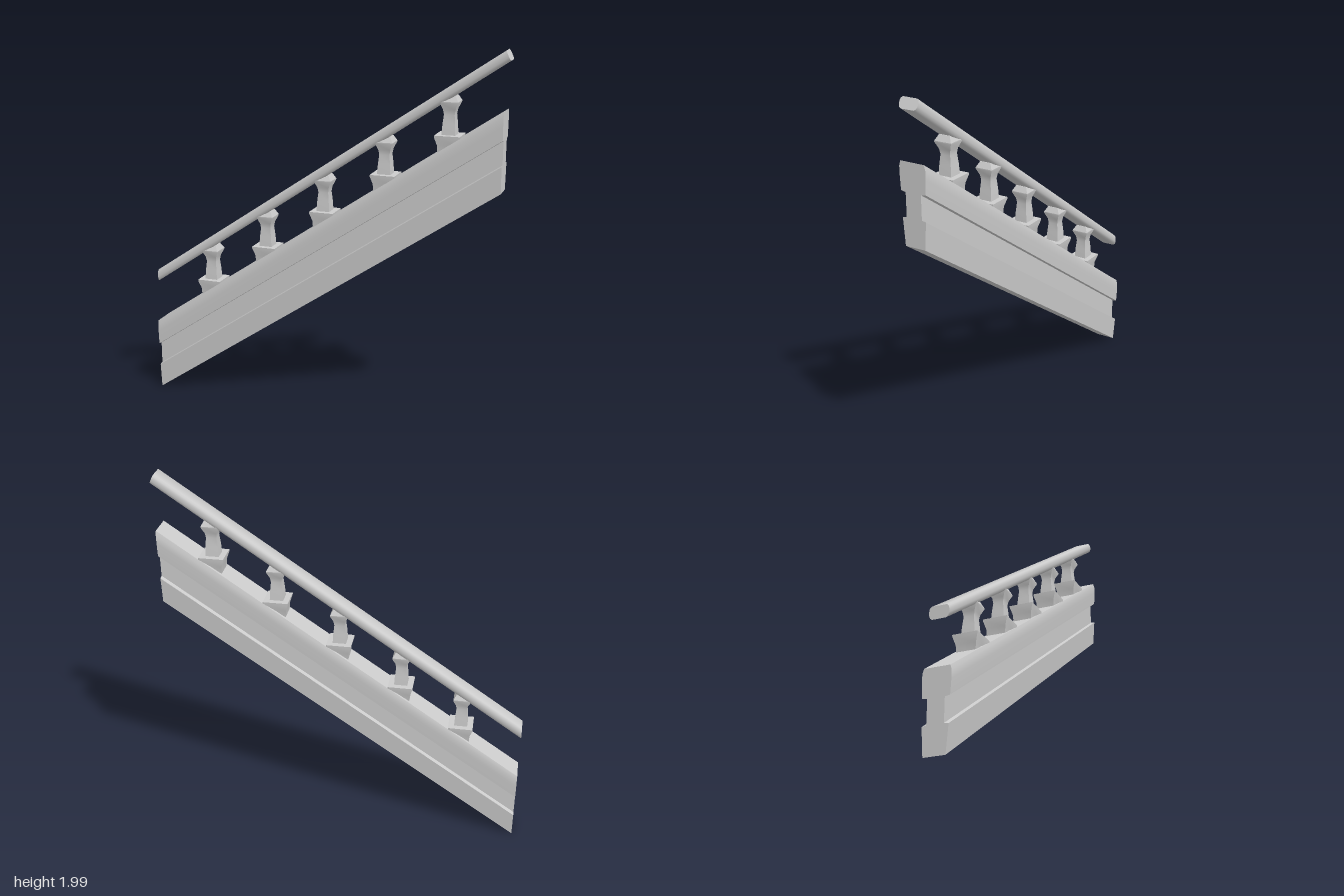
import * as THREE from 'three';
import { toCreasedNormals } from 'three/addons/utils/BufferGeometryUtils.js';

const SLOPE = 0.68;
const LEFT = -0.963;
const material = new THREE.MeshStandardMaterial({ color: 0xcccccc });

// Extrudes a mirrored (halfWidth, y) profile along x, climbing with the slope.
// endCut leans the upper end face back by that much x per unit of profile height.
function slopedBeam(name, half, length, startY, endCut, crease) {
  const mirrored = half.map(([w, y]) => [-w, y]).reverse();
  const shape = new THREE.Shape([...half, ...mirrored].map(([w, y]) => new THREE.Vector2(w, y)));
  const geo = new THREE.ExtrudeGeometry(shape, { depth: length, bevelEnabled: false });
  geo.rotateY(Math.PI / 2);
  const p = geo.attributes.position;
  for (let i = 0; i < p.count; i++) {
    let x = p.getX(i);
    const y = p.getY(i);
    if (x > length / 2) x -= endCut * y;
    p.setXYZ(i, x + LEFT, startY + y + SLOPE * x, p.getZ(i));
  }
  const mesh = new THREE.Mesh(toCreasedNormals(geo, crease), material);
  mesh.name = name;
  return mesh;
}

// Square turned post; y = 0 is the top of its plinth
function balusterGeometry() {
  const profile = [
    [0, -0.11], [0.048, -0.11], [0.052, -0.05], [0.065, -0.008], [0.065, 0], [0.035, 0],
    [0.032, 0.05], [0.027, 0.1], [0.031, 0.125], [0.046, 0.16], [0.046, 0.166],
    [0.03, 0.195], [0, 0.195],
  ].map(([w, y]) => new THREE.Vector2(w * Math.SQRT2, y));
  const geo = new THREE.LatheGeometry(profile, 4, Math.PI / 4).toNonIndexed();
  return toCreasedNormals(geo, 0.5);
}

export function createModel() {
  const model = new THREE.Group();
  model.name = 'stairBalustrade';

  // Thick side board with a groove along both faces
  model.add(slopedBeam('stairString', [
    [0.054, 0], [0.064, 0.138], [0.042, 0.142], [0.042, 0.262],
    [0.067, 0.266], [0.071, 0.34], [0.071, 0.38], [0.064, 0.405],
  ], 1.908, 0.005, 0, 0.6));

  // Rounded handrail
  model.add(slopedBeam('handrail', [
    [0.034, 0], [0.045, 0.008], [0.05, 0.024], [0.05, 0.042],
    [0.047, 0.056], [0.038, 0.065],
  ], 1.926, 0.64, 0.37, 0.9));

  // Row of five balusters between string and handrail
  const balusters = new THREE.Group();
  balusters.name = 'balusters';
  const geo = balusterGeometry();
  for (let i = 0; i < 5; i++) {
    const post = new THREE.Mesh(geo, material);
    post.name = 'baluster' + (i + 1);
    post.position.set(-0.64 + i * 0.3275, 0.682 + i * 0.2228, 0);
    balusters.add(post);
  }
  model.add(balusters);
  return model;
}
